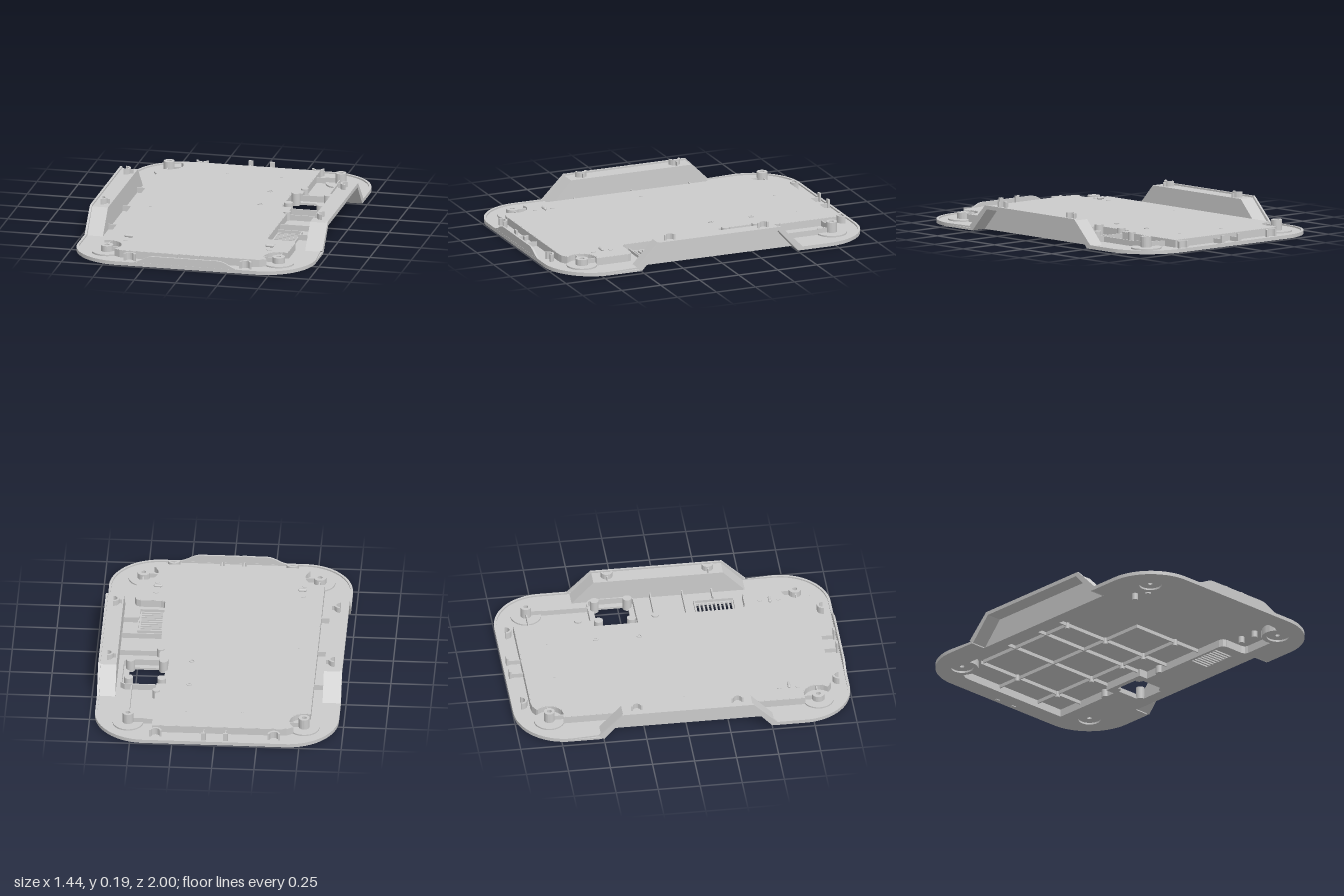
import * as THREE from 'three';
import { toCreasedNormals } from 'three/addons/utils/BufferGeometryUtils.js';

const PI = Math.PI;
const material = new THREE.MeshStandardMaterial({ color: 0xcccccc });

export function createModel() {
  const model = new THREE.Group();

  const add = (name, geometry) => {
    const mesh = new THREE.Mesh(geometry, material);
    mesh.name = name;
    model.add(mesh);
    return mesh;
  };
  const extrude = (shape, depth) =>
    toCreasedNormals(new THREE.ExtrudeGeometry(shape, { depth, bevelEnabled: false, curveSegments: 20 }), 0.6);

  // Plan shape (x, z) raised from y0 to y1
  const slab = (name, shape, y0, y1) =>
    add(name, extrude(shape, y1 - y0).rotateX(PI / 2).translate(0, y1, 0));
  const polygon = (pts) => new THREE.Shape(pts.map(([x, z]) => new THREE.Vector2(x, z)));
  const rect = (x0, z0, x1, z1) => polygon([[x0, z0], [x1, z0], [x1, z1], [x0, z1]]);
  const circle = (x, z, r) => new THREE.Shape().absarc(x, z, r, 0, 2 * PI, false);

  const post = (name, x, z, r, y0, y1) =>
    add(name, new THREE.CylinderGeometry(r, r, y1 - y0, 24).translate(x, (y0 + y1) / 2, z));
  const tube = (name, x, z, r, inner, y0, y1) => {
    const s = circle(x, z, r);
    s.holes.push(circle(x, z, inner));
    return slab(name, s, y0, y1);
  };
  const clip = (name, x, z, r, start, y0, y1) => {
    const s = new THREE.Shape().absarc(x, z, r, start, start + PI, false);
    s.absarc(x, z, r - 0.012, start + PI, start, true);
    return slab(name, s, y0, y1);
  };
  // Thin upright wall along a plan polyline
  const wall = (name, pts, y0, y1, t = 0.008) => {
    for (let i = 0; i < pts.length - 1; i++) {
      const [ax, az] = pts[i], [bx, bz] = pts[i + 1];
      const dx = bx - ax, dz = bz - az;
      add(name, new THREE.BoxGeometry(Math.hypot(dx, dz) + t * 0.5, y1 - y0, t)
        .rotateY(-Math.atan2(dz, dx))
        .translate((ax + bx) / 2, (y0 + y1) / 2, (az + bz) / 2));
    }
  };

  // Deck outline, cut away around the corner feet
  const arc = (cx, cz, a0, a1, n = 10) => Array.from({ length: n + 1 }, (_, i) => {
    const a = a0 + (a1 - a0) * i / n;
    return [cx + 0.09 * Math.cos(a), cz + 0.09 * Math.sin(a)];
  });
  const deckOutline = [
    [-0.38, -0.89], [0.37, -0.89],
    [0.37, -0.43], [0.31, -0.43], [0.31, -0.155], [0.37, -0.155],
    [0.37, 0.46], [0.378, 0.482], [0.4, 0.49], [0.52, 0.49], [0.542, 0.498], [0.55, 0.52],
    ...arc(0.52, 0.8, -1.23, -PI * 1.25), [0.42, 0.885], [0.38, 0.89],
    [-0.38, 0.89], [-0.42, 0.885], ...arc(-0.52, 0.8, PI * 0.25, -1.91),
    ...arc(-0.52, -0.8, 1.91, -PI * 0.25), [-0.42, -0.885],
  ];

  // Floor with side notches and openings
  const floor = new THREE.Shape();
  floor.moveTo(-0.42, -1);
  floor.lineTo(0.42, -1);
  floor.absarc(0.42, -0.7, 0.3, -PI / 2, 0, false);
  [[0.72, -0.51], [0.62, -0.51], [0.62, 0.51], [0.72, 0.51]].forEach((p) => floor.lineTo(...p));
  floor.absarc(0.42, 0.7, 0.3, 0, PI / 2, false);
  floor.absarc(-0.42, 0.7, 0.3, PI / 2, PI, false);
  [[-0.72, 0.51], [-0.62, 0.51], [-0.62, -0.51], [-0.72, -0.51]].forEach((p) => floor.lineTo(...p));
  floor.absarc(-0.42, -0.7, 0.3, PI, PI * 1.5, false);
  floor.holes.push(polygon(deckOutline), rect(0.335, -0.395, 0.545, -0.19));
  for (let i = 0; i < 9; i++) {
    const z = 0.21 + i * 0.0245;
    floor.holes.push(rect(0.383, z, 0.508, z + 0.014));
  }
  for (const x of [-0.52, 0.52]) for (const z of [-0.8, 0.8]) floor.holes.push(circle(x, z, 0.065));
  slab('floor', floor, 0, 0.013);

  // Raised rim at the front and back ends
  const rim = new THREE.Shape();
  rim.moveTo(0.72, 0.5);
  rim.absarc(0.42, 0.7, 0.3, 0, PI / 2, false);
  rim.absarc(-0.42, 0.7, 0.3, PI / 2, PI, false);
  rim.lineTo(-0.72, 0.5);
  rim.lineTo(-0.706, 0.5);
  rim.absarc(-0.42, 0.7, 0.286, PI, PI / 2, true);
  rim.absarc(0.42, 0.7, 0.286, PI / 2, 0, true);
  rim.lineTo(0.706, 0.5);
  slab('frontRim', rim, 0.001, 0.022);
  slab('backRim', rim, 0.001, 0.022).rotation.y = PI;

  // Curved front flange
  const flange = new THREE.Shape();
  flange.moveTo(-0.34, 0.005);
  flange.lineTo(-0.34, 0.02);
  flange.bezierCurveTo(-0.27, 0.022, -0.25, 0.066, -0.19, 0.066);
  flange.lineTo(0.19, 0.066);
  flange.bezierCurveTo(0.25, 0.066, 0.27, 0.022, 0.34, 0.02);
  flange.lineTo(0.34, 0.005);
  add('frontFlange', extrude(flange, 0.012).translate(0, 0, 0.987));

  // Hollow deck
  slab('deckTop', polygon(deckOutline), 0.046, 0.058);
  wall('deckWall', [...deckOutline, deckOutline[0]], 0, 0.0575);

  // Ribs and bosses under the deck
  const ribs = [
    [[0.18, -0.885], [0.18, 0.28]], [[-0.13, -0.885], [-0.13, 0.28]], [[-0.44, -0.7], [-0.44, 0.01]],
    [[-0.44, -0.72], [0.365, -0.72]], [[-0.545, -0.43], [0.305, -0.43]],
    [[-0.545, -0.17], [0.305, -0.17]], [[-0.545, 0.01], [0.365, 0.01]], [[-0.13, 0.28], [0.365, 0.28]],
  ];
  ribs.forEach((r) => wall('undersideRib', r, 0.025, 0.047));
  for (const [x, z] of [[0.18, -0.72], [-0.15, -0.72], [0.18, -0.43], [0.18, -0.17], [0.18, 0.01],
    [-0.13, 0.01], [-0.44, 0.01], [0.18, 0.28]]) post('undersideBoss', x, z, 0.014, 0.008, 0.047);

  // Raised hand recesses along both sides
  const archBand = (lower, upper) => polygon([
    [-lower[0], lower[1]], [-lower[2], lower[3]], [lower[2], lower[3]], [lower[0], lower[1]],
    [upper[0], upper[1]], [upper[2], upper[3]], [-upper[2], upper[3]], [-upper[0], upper[1]]]);
  const sideExtrude = (name, shape, side, x0, x1) =>
    add(name, extrude(shape, x1 - x0).rotateY(PI / 2).translate(side > 0 ? x0 : -x1, 0, 0));
  const innerWall = polygon([[-0.505, 0], [0.505, 0], [0.515, 0.013], [0.385, 0.152], [-0.385, 0.152], [-0.515, 0.013]]);
  for (const side of [-1, 1]) {
    sideExtrude('recessTop', archBand([0.5, 0, 0.375, 0.14], [0.515, 0.013, 0.385, 0.152]), side, 0.612, 0.718);
    sideExtrude('recessLip', archBand([0.5, 0, 0.375, 0.139], [0.53, 0.022, 0.39, 0.162]), side, 0.707, 0.72);
    sideExtrude('recessWall', innerWall, side, 0.612, 0.622);
    for (const z of [-0.3, 0.3]) {
      clip('sideClip', side * 0.67, z, 0.035, side > 0 ? PI / 2 : -PI / 2, 0.15, 0.185);
      wall('sideClipWeb', [[side * 0.622, z], [side * 0.638, z]], 0.15, 0.178);
    }
  }

  // Corner feet and screw bosses
  for (const x of [-0.52, 0.52]) for (const z of [-0.8, 0.8]) {
    const back = z < 0;
    tube('cornerFoot', x, z, 0.09, 0.014, 0.011, 0.022);
    tube('cornerBoss', x, z, back ? 0.032 : 0.037, 0.014, 0.02, back ? 0.085 : 0.058);
    const inward = -Math.sign(x);
    wall('cornerRib', [[x + inward * 0.034, z], [x + inward * 0.09, z]], 0.02, 0.05);
    wall('cornerRib', [[x, z - Math.sign(z) * 0.034], [x, z - Math.sign(z) * 0.09]], 0.02, 0.05);
  }

  // End clips and paired stiffeners
  for (const end of [-1, 1]) {
    for (const x of [-0.35, 0.35]) clip('endClip', x, end * 0.945, 0.037, end > 0 ? PI : 0, 0.012, 0.056);
    for (const x of [-0.065, 0.065]) {
      wall('endRib', [[x, end * 0.89], [x, end * 0.975]], 0.012, 0.04);
      add('endTab', new THREE.BoxGeometry(0.028, 0.07, 0.012).translate(x, end > 0 ? 0.047 : 0.03, end * 0.972));
    }
  }

  // Square opening with corner posts and surround
  for (const x of [0.345, 0.54]) for (const z of [-0.39, -0.195]) post('openingPost', x, z, 0.026, 0, 0.075);
  wall('openingFrame', [[0.37, -0.43], [0.56, -0.43], [0.583, -0.41], [0.583, -0.178], [0.56, -0.155], [0.37, -0.155]], 0.01, 0.05);

  // Stiffening ribs in the side troughs
  wall('ventFrame', [[0.37, 0.2], [0.522, 0.2], [0.522, 0.435], [0.37, 0.435]], 0.01, 0.03);
  for (const r of [[[0.37, -0.05], [0.615, -0.05]], [[0.37, 0.14], [0.615, 0.14]], [[0.522, 0.315], [0.615, 0.315]],
    [[0.52, -0.71], [0.52, -0.43]], [[0.37, -0.8], [0.43, -0.8]],
    ...[-0.37, 0, 0.37].map((z) => [[-0.615, z], [-0.55, z]])]) wall('troughRib', r, 0.01, 0.046);

  // Small fittings on the deck
  for (const z of [-0.51, -0.05]) post('edgePost', 0.37, z, 0.022, 0, 0.066);
  for (const z of [-0.43, -0.17]) tube('deckRing', 0.18, z, 0.016, 0.009, 0.05, 0.062);
  for (const [x, z] of [[0.18, -0.72], [-0.15, -0.72], [-0.44, 0.01]]) post('deckPin', x, z, 0.008, 0.05, 0.06);
  for (const x of [-0.435, 0.435]) {
    for (const z of [0.58, 0.69]) {
      post('locatingPin', x, z, 0.014, 0.05, 0.061);
      post('locatingBoss', x, z, 0.018, 0.006, 0.047);
    }
    add('locatingTab', new THREE.CapsuleGeometry(0.009, 0.034, 4, 12).rotateZ(PI / 2).translate(x * 0.98, 0.068, 0.637));
  }
  return model;
}
